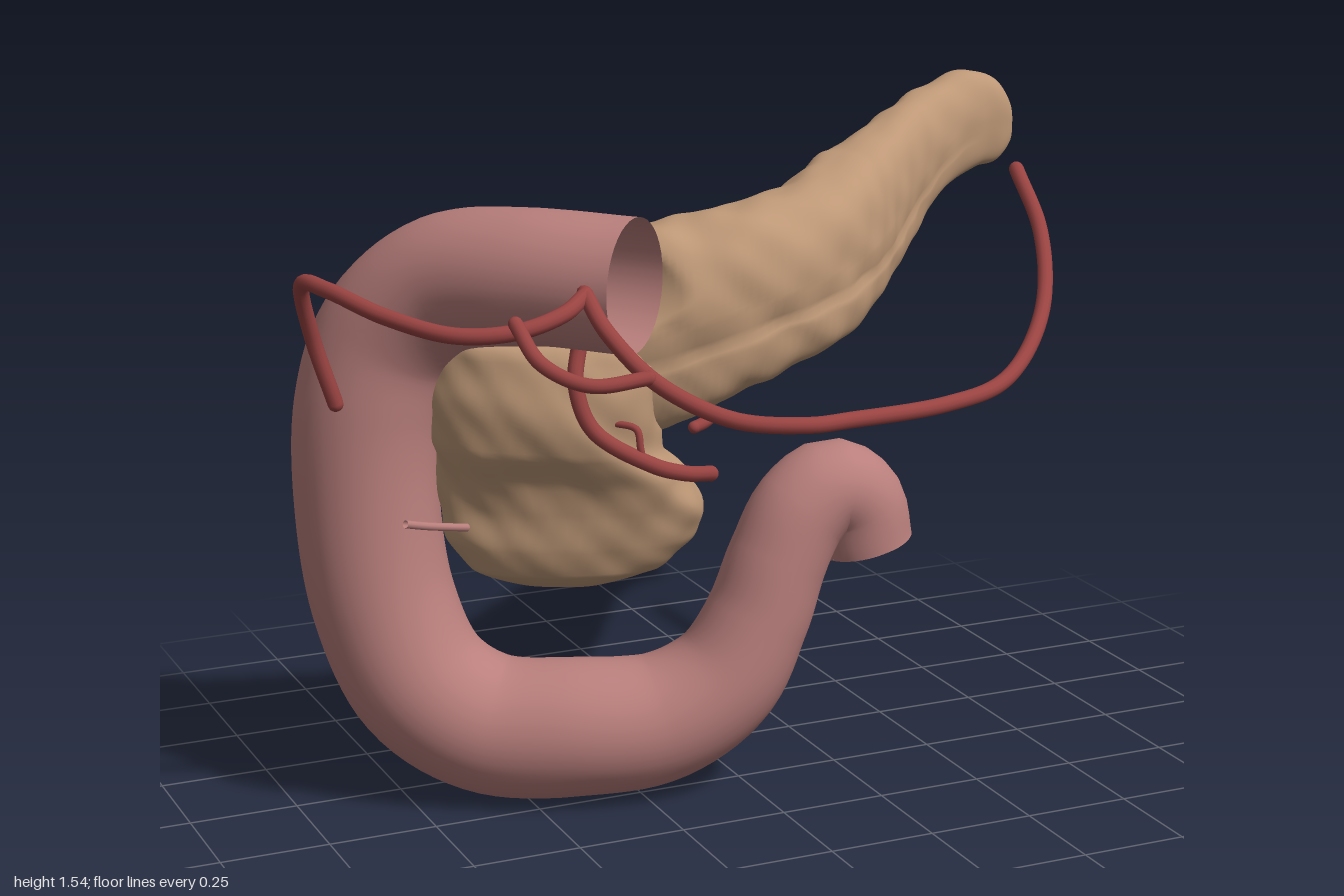
import * as THREE from 'three';

const V = (a) => new THREE.Vector3(a[0], a[1], a[2]);
const curveOf = (pts) => new THREE.CatmullRomCurve3(pts.map(V), false, 'centripetal');

// Tube along points, with radii spread evenly along its length
function taperedTube(pts, radii, segs, sides) {
  const curve = curveOf(pts);
  const geo = new THREE.TubeGeometry(curve, segs, 1, sides, false);
  const pos = geo.attributes.position;
  const p = new THREE.Vector3();
  for (let i = 0; i <= segs; i++) {
    const c = curve.getPointAt(i / segs);
    const f = (i / segs) * (radii.length - 1);
    const k = Math.min(Math.floor(f), radii.length - 2);
    const r = THREE.MathUtils.lerp(radii[k], radii[k + 1], f - k);
    for (let j = 0; j <= sides; j++) {
      const n = i * (sides + 1) + j;
      p.fromBufferAttribute(pos, n).sub(c).multiplyScalar(r).add(c);
      pos.setXYZ(n, p.x, p.y, p.z);
    }
  }
  return geo;
}

// Soft lobules of the gland surface
function lumps(p) {
  return 0.024 * Math.sin(17 * p.x + 9 * p.z) * Math.sin(21 * p.y + 5 * p.x)
    + 0.02 * Math.sin(33 * p.y - 19 * p.z) * Math.sin(29 * p.x + 8 * p.y)
    + 0.013 * Math.sin(47 * p.x + 13 * p.y) * Math.sin(43 * p.y + 37 * p.z);
}

// Presses the gland against the outside of the upper bowel, a level cylinder
const BOWEL = new THREE.Vector3(-0.325, 1.24, 0.175);
function clearBowel(p) {
  const old = 0.73 * (p.x - BOWEL.x) - 0.685 * (p.z - BOWEL.z);
  const s = Math.max(old, 0.03);
  const h = p.y - BOWEL.y;
  const d = Math.hypot(s, h);
  if (d > 0.158) return;
  const k = 0.158 / d;
  p.x += 0.73 * (s * k - old);
  p.z -= 0.685 * (s * k - old);
  p.y = BOWEL.y + h * k;
}

// Loft of oval sections; station = [x, y, z, half A, half B, heading].
// A is vertical for upright sections, otherwise level; B points to the front.
// Upright sections are square at the lower front, slanted at the lower back,
// and carry a long groove along the front.
function loft(stations, upright, segs, sides) {
  const centres = new THREE.CatmullRomCurve3(stations.map(V));
  const sizes = new THREE.CatmullRomCurve3(stations.map((s) => V(s.slice(3))));
  const pos = [], index = [];
  for (let i = 0; i <= segs; i++) {
    const u = i / segs;
    const c = centres.getPoint(u), s = sizes.getPoint(u);
    const A = upright ? new THREE.Vector3(0, 1, 0)
      : new THREE.Vector3(Math.cos(s.z), 0, -Math.sin(s.z));
    const B = new THREE.Vector3(Math.sin(s.z), 0, Math.cos(s.z));
    const slant = 0.9 + 0.5 * (1 - THREE.MathUtils.smoothstep(c.x, 0, 0.6));
    for (let j = 0; j < sides; j++) {
      const t = (j / sides) * Math.PI * 2;
      const ca = Math.cos(t), sa = Math.sin(t);
      const e = !upright || ca > 0 ? 0.9 : sa > 0 ? 0.58 : slant;
      const sq = (v) => Math.sign(v) * Math.pow(Math.abs(v), e);
      const d = A.clone().multiplyScalar(Math.max(s.x, 0) * sq(ca))
        .addScaledVector(B, Math.max(s.y, 0) * sq(sa));
      let k = 1 + 1.2 * lumps(c.clone().add(d));
      if (upright && sa > 0) {
        k -= 0.08 * Math.exp(-Math.pow((sq(ca) + 0.25) / 0.06, 2)) * Math.sin(Math.PI * Math.min(1, u * 1.3));
      }
      const p = c.clone().addScaledVector(d, k);
      clearBowel(p);
      pos.push(p.x, p.y, p.z);
      if (i < segs) {
        const a = i * sides + j, b = i * sides + (j + 1) % sides;
        index.push(a, b, a + sides, b, b + sides, a + sides);
      }
    }
  }
  const geo = new THREE.BufferGeometry();
  geo.setAttribute('position', new THREE.Float32BufferAttribute(pos, 3));
  geo.setIndex(index);
  geo.computeVertexNormals();
  return geo;
}

export function createModel() {
  const group = new THREE.Group();
  const pink = new THREE.MeshStandardMaterial({ color: 0xb97f7c, side: THREE.DoubleSide });
  pink.name = 'bowel pink';
  const tan = new THREE.MeshStandardMaterial({ color: 0xbd9776 });
  tan.name = 'gland tan';
  const red = new THREE.MeshStandardMaterial({ color: 0x984341, side: THREE.DoubleSide });
  red.name = 'artery red';
  const add = (name, geo, mat) => {
    const m = new THREE.Mesh(geo, mat);
    m.name = name;
    group.add(m);
  };

  // C-shaped bowel loop, open at the top
  add('duodenum', taperedTube([
    BOWEL.toArray(), [-0.5, 1.24, -0.01], [-0.635, 1.2, -0.18],
    [-0.735, 1.08, -0.27], [-0.785, 0.92, -0.293], [-0.795, 0.7, -0.293],
    [-0.77, 0.45, -0.265], [-0.7, 0.265, -0.21], [-0.57, 0.17, -0.145],
    [-0.38, 0.163, -0.05], [-0.19, 0.178, 0], [-0.05, 0.26, 0.025],
    [0.035, 0.4, 0.03], [0.085, 0.53, 0.03], [0.145, 0.64, 0.03],
    [0.22, 0.685, 0.03], [0.285, 0.645, 0.03], [0.312, 0.545, 0.03],
  ], [0.15, 0.15, 0.155, 0.16, 0.165, 0.165, 0.165, 0.165, 0.165, 0.163,
    0.162, 0.155, 0.14, 0.122, 0.115, 0.115, 0.11], 120, 40), pink);

  // Closed lower end of the bowel
  const end = new THREE.CircleGeometry(0.11, 40);
  end.lookAt(new THREE.Vector3(0.22, -0.975, 0));
  end.translate(0.312, 0.545, 0.03);
  add('duodenumEnd', end, pink);

  // Gland body, from the neck out to the tail
  add('pancreasBody', loft([
    [-0.62, 1.02, -0.3, 0, 0, -0.6],
    [-0.59, 1.02, -0.285, 0.11, 0.07, -0.6],
    [-0.5, 1.03, -0.21, 0.19, 0.12, -0.6],
    [-0.35, 1.06, -0.11, 0.235, 0.14, -0.5],
    [-0.18, 1.1, -0.04, 0.23, 0.155, -0.3],
    [0, 1.155, -0.02, 0.205, 0.155, 0],
    [0.2, 1.205, -0.07, 0.185, 0.145, 0.45],
    [0.4, 1.26, -0.235, 0.17, 0.12, 0.72],
    [0.6, 1.327, -0.405, 0.148, 0.093, 0.68],
    [0.77, 1.392, -0.515, 0.125, 0.08, 0.5],
    [0.88, 1.41, -0.55, 0.122, 0.07, 0.2],
    [0.95, 1.405, -0.555, 0.098, 0.06, 0.1],
    [0.985, 1.4, -0.555, 0.058, 0.038, 0.1],
    [0.998, 1.4, -0.555, 0, 0, 0.1],
  ], true, 160, 120), tan);

  // Gland head with the hooked lower lobe, top to bottom
  add('pancreasHead', loft([
    [-0.43, 1.2, -0.17, 0, 0, -0.65],
    [-0.43, 1.16, -0.17, 0.18, 0.09, -0.65],
    [-0.43, 1.06, -0.13, 0.28, 0.16, -0.65],
    [-0.435, 0.95, -0.1, 0.27, 0.165, -0.65],
    [-0.435, 0.84, -0.095, 0.265, 0.157, -0.65],
    [-0.39, 0.76, -0.1, 0.295, 0.142, -0.55],
    [-0.37, 0.69, -0.1, 0.305, 0.135, -0.48],
    [-0.38, 0.61, -0.1, 0.275, 0.125, -0.43],
    [-0.39, 0.54, -0.095, 0.21, 0.095, -0.42],
    [-0.4, 0.505, -0.095, 0.11, 0.05, -0.42],
    [-0.4, 0.495, -0.095, 0, 0, -0.42],
  ], false, 100, 72), tan);

  // Vessels: [name, radius, path]
  const vessels = [
    ['splenicArtery', 0.018, [
      [0.84, 1.34, -0.23], [0.8, 1.23, -0.04], [0.66, 1.1, 0.22], [0.45, 1.01, 0.43],
      [0.25, 1, 0.53], [0, 1.005, 0.58], [-0.12, 1.01, 0.597], [-0.27, 1.03, 0.56],
      [-0.4, 1.1, 0.48], [-0.465, 1.19, 0.36], [-0.47, 1.25, 0.25]]],
    ['hepaticArtery', 0.018, [
      [-0.47, 1.25, 0.25], [-0.54, 1.225, 0.3], [-0.65, 1.2, 0.312], [-0.77, 1.195, 0.27],
      [-0.88, 1.22, 0.15], [-0.96, 1.255, 0], [-0.985, 1.25, -0.1], [-0.95, 1.12, -0.16],
      [-0.9, 0.96, -0.165]]],
    ['linkingArtery', 0.016, [
      [-0.655, 1.22, 0.32], [-0.63, 1.15, 0.4], [-0.55, 1.11, 0.465], [-0.42, 1.115, 0.475]]],
    ['headArtery', 0.018, [
      [-0.47, 1.25, 0.25], [-0.45, 1.255, 0.19], [-0.425, 1.24, 0.12], [-0.41, 1.18, 0.08],
      [-0.41, 1.1, 0.06], [-0.43, 1.01, 0.085], [-0.4, 0.91, 0.11], [-0.28, 0.83, 0.16],
      [-0.2, 0.8, 0.15], [-0.105, 0.77, 0.08]]],
    ['lowerArtery', 0.014, [
      [-0.06, 0.865, -0.03], [-0.1, 0.875, 0.03], [-0.15, 0.885, 0.09]]],
    ['smallBranch', 0.008, [
      [-0.35, 0.92, 0.1], [-0.31, 0.91, 0.14], [-0.305, 0.87, 0.15], [-0.3, 0.84, 0.15]]],
  ];
  for (const [name, r, path] of vessels) {
    add(name, taperedTube(path, [r, r], path.length * 10, 12), red);
    // rounded ends
    for (const e of [path[0], path[path.length - 1]]) {
      const cap = new THREE.SphereGeometry(r, 12, 8);
      cap.translate(...e);
      add(name + 'End', cap, red);
    }
  }

  // Fine duct reaching towards the bowel
  add('duct', taperedTube([[-0.785, 0.7, -0.05], [-0.72, 0.68, -0.075], [-0.62, 0.655, -0.11]],
    [0.009, 0.009], 16, 10), pink);

  return group;
}
